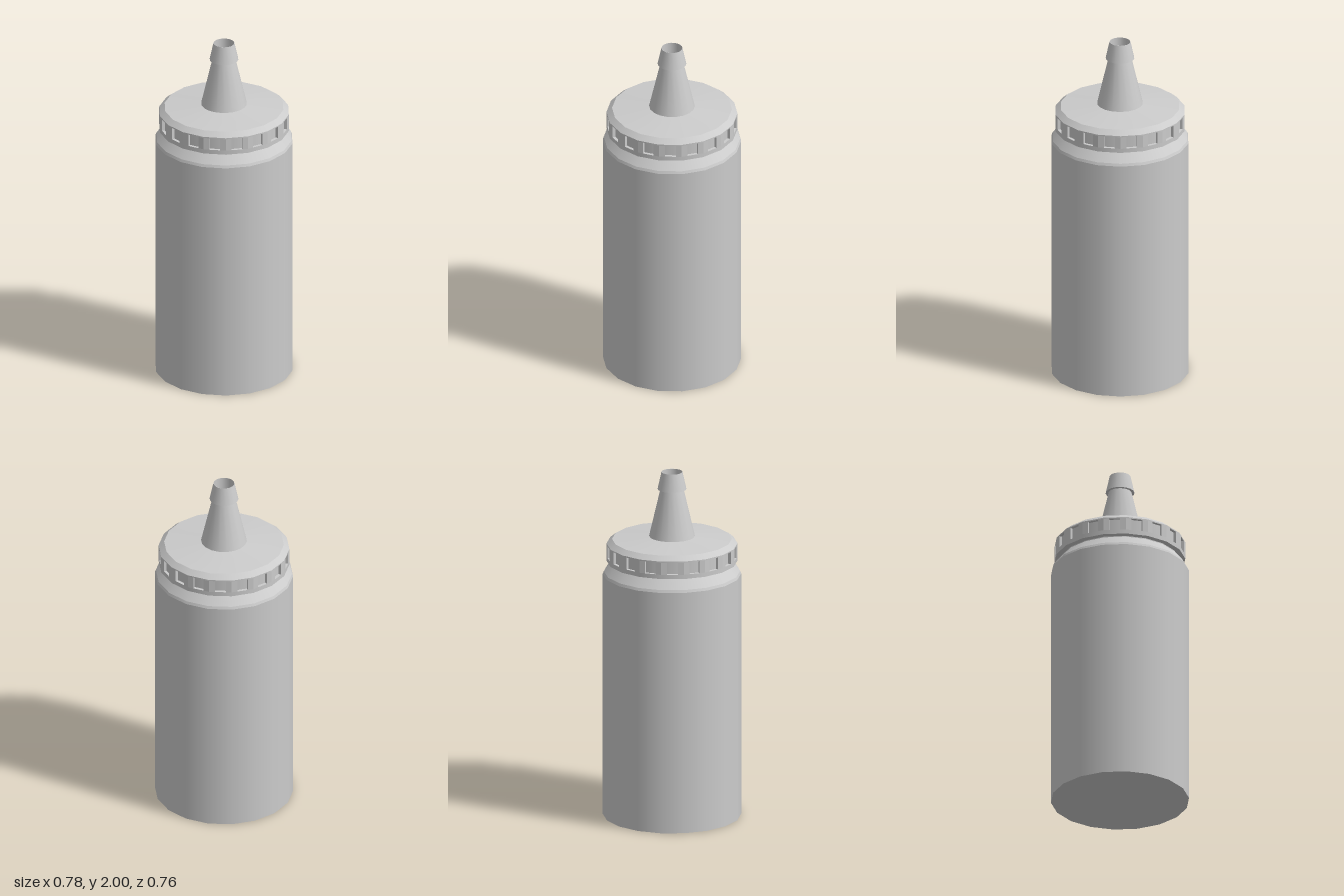
import * as THREE from 'three';
import { mergeGeometries } from 'three/addons/utils/BufferGeometryUtils.js';

const SIDES = 18;
const STEP = (Math.PI * 2) / SIDES;
const material = new THREE.MeshStandardMaterial({ color: 0xcccccc });

// Turned part: smooth around the axis, a sharp edge at each profile point
function turned(name, profile) {
  const bands = [];
  for (let i = 0; i < profile.length - 1; i++) {
    const pair = [profile[i], profile[i + 1]].map(([r, y]) => new THREE.Vector2(r, y));
    bands.push(new THREE.LatheGeometry(pair, SIDES, Math.PI / 2));
  }
  const mesh = new THREE.Mesh(mergeGeometries(bands), material);
  mesh.name = name;
  return mesh;
}

// Grip post wrapping one corner of the cap band, leaving a notch on each flat
function gripGeometry(outer, inner, height) {
  const half = STEP / 2;
  const edge = 0.031; // half the notch width
  const flat = (r, sign) => {
    const a = r * Math.cos(half);
    const c = Math.cos(half), s = Math.sin(half);
    return new THREE.Vector2(a * c + edge * s, sign * (a * s - edge * c));
  };
  const shape = new THREE.Shape([
    flat(inner, -1), flat(outer, -1), new THREE.Vector2(outer, 0),
    flat(outer, 1), flat(inner, 1), new THREE.Vector2(inner, 0),
  ]);
  const geometry = new THREE.ExtrudeGeometry(shape, { depth: height, bevelEnabled: false });
  return geometry.rotateX(-Math.PI / 2);
}

export function createModel() {
  const model = new THREE.Group();
  model.name = 'squeezeBottle';

  // Bottle body with sloping shoulder and neck
  model.add(turned('bottle', [
    [0, 0], [0.388, 0], [0.388, 1.405], [0.382, 1.42], [0.335, 1.475], [0.335, 1.5],
  ]));

  // Screw cap: lower rim, recessed band, chamfer and gently rising lid
  const cap = new THREE.Group();
  cap.name = 'cap';
  cap.add(turned('capShell', [
    [0.325, 1.48], [0.367, 1.48], [0.367, 1.505], [0.35, 1.505], [0.35, 1.575],
    [0.367, 1.575], [0.367, 1.582], [0.336, 1.608], [0.12, 1.627],
  ]));
  const grip = gripGeometry(0.367, 0.345, 0.07);
  for (let i = 0; i < SIDES; i++) {
    const post = new THREE.Mesh(grip, material);
    post.name = 'capGrip';
    post.position.y = 1.505;
    post.rotation.y = i * STEP;
    cap.add(post);
  }
  model.add(cap);

  // Open tapered nozzle with a flared tip and an inner wall
  model.add(turned('nozzle', [
    [0.13, 1.62], [0.065, 1.9], [0.081, 1.9], [0.059, 2], [0.058, 2], [0.06, 1.9], [0.12, 1.62],
  ]));

  return model;
}
